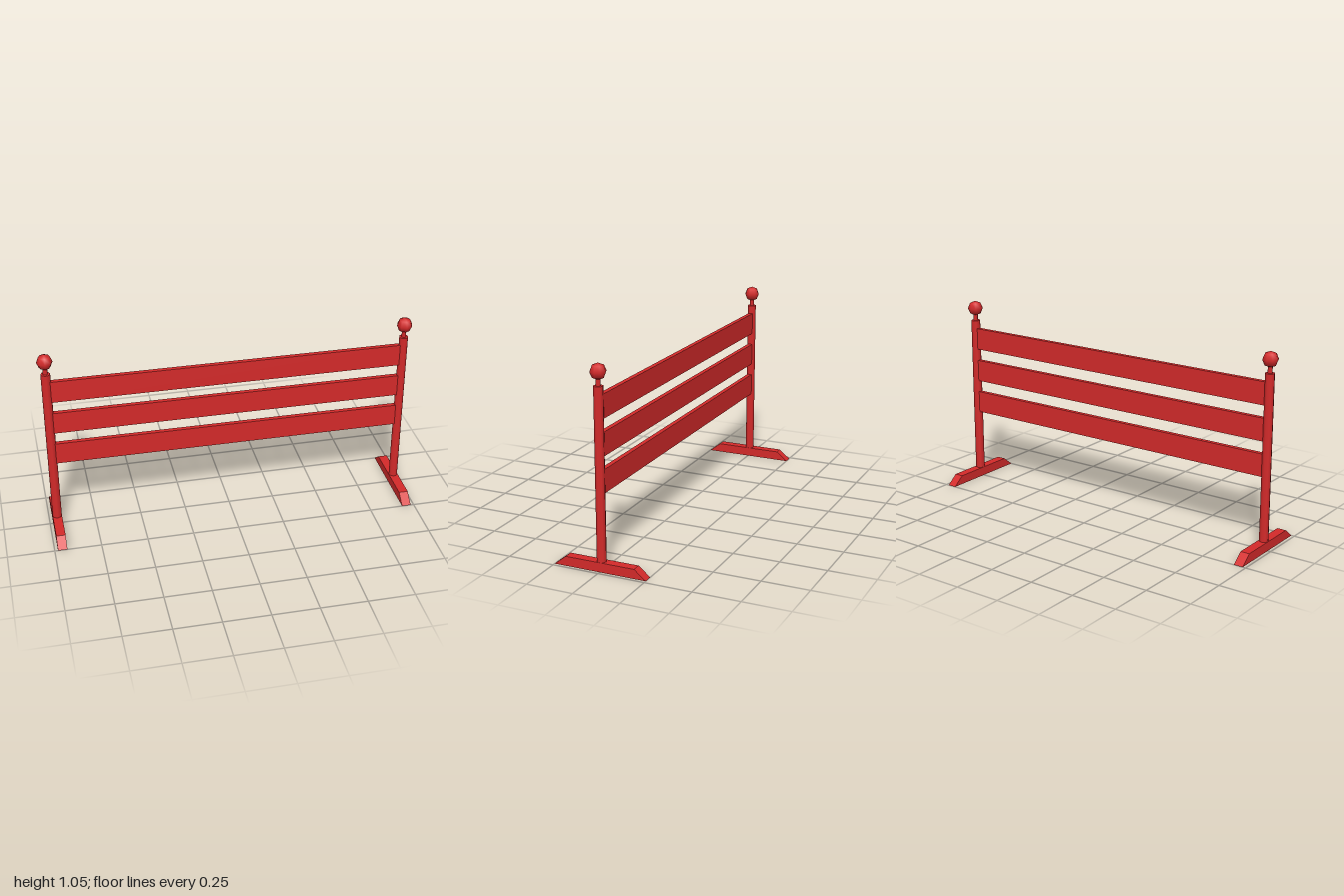
import * as THREE from 'three';

const POST_X = 0.958;

export function createModel() {
  const model = new THREE.Group();
  model.name = 'slattedBarrier';
  const smooth = new THREE.MeshStandardMaterial({ color: 0xd42a2a });
  const flat = new THREE.MeshStandardMaterial({ color: 0xd42a2a, flatShading: true });

  const add = (parent, name, geometry, material, y) => {
    const mesh = new THREE.Mesh(geometry, material);
    mesh.name = name;
    mesh.position.y = y;
    parent.add(mesh);
    return mesh;
  };

  // foot: trapezoid profile in z/y, extruded across x
  const profile = new THREE.Shape([
    new THREE.Vector2(-0.25, 0),
    new THREE.Vector2(0.25, 0),
    new THREE.Vector2(0.188, 0.05),
    new THREE.Vector2(-0.188, 0.05),
  ]);
  const footGeo = new THREE.ExtrudeGeometry(profile, { depth: 0.05, bevelEnabled: false });
  footGeo.translate(0, 0, -0.025).rotateY(Math.PI / 2);

  const postGeo = new THREE.CylinderGeometry(0.025, 0.025, 0.895, 8);
  const neckGeo = new THREE.CylinderGeometry(0.0125, 0.0125, 0.06, 8);
  const ballGeo = new THREE.SphereGeometry(0.042, 8, 4);

  // two identical end stands
  for (const side of [-1, 1]) {
    const stand = new THREE.Group();
    stand.name = side > 0 ? 'leftStand' : 'rightStand';
    stand.position.x = side * POST_X;
    add(stand, 'foot', footGeo, flat, 0);
    add(stand, 'post', postGeo, smooth, 0.4875);
    add(stand, 'finialNeck', neckGeo, smooth, 0.955);
    add(stand, 'finialBall', ballGeo, smooth, 1.005);
    model.add(stand);
  }

  // three horizontal slats between the posts
  const slatGeo = new THREE.BoxGeometry(POST_X * 2 - 0.02, 0.121, 0.025);
  [0.455, 0.642, 0.829].forEach((y, i) => add(model, `slat${i + 1}`, slatGeo, flat, y));

  return model;
}
